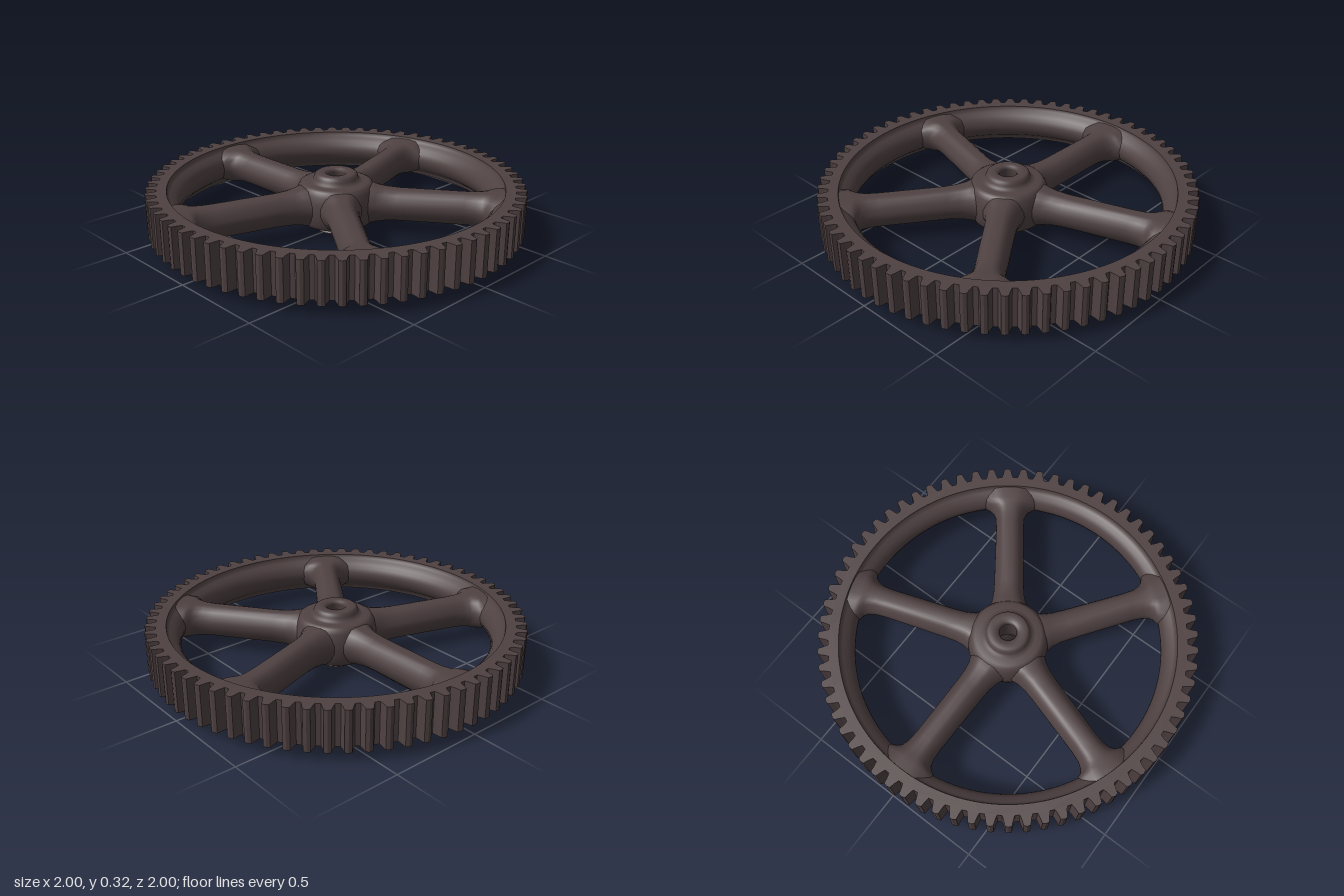
import * as THREE from 'three';

const MID = 0.16; // height of the wheel's central plane
const TEETH = 68;
const SPOKES = 5;

// Upper half of a profile [radius, height above mid], mirrored below the mid plane
function mirrored(upper) {
  const lower = upper.slice().reverse().filter(p => p[1] > 0).map(([r, h]) => [r, -h]);
  const rest = upper.filter(p => p[1] >= 0);
  return [...rest, ...lower.reverse().sort((a, b) => b[1] - a[1])].map(([r, h]) => new THREE.Vector2(r, MID + h));
}

// Outer ring outline with trapezoid teeth
function toothedRing() {
  const shape = new THREE.Shape();
  const pitch = (Math.PI * 2) / TEETH;
  const tooth = [[-0.36, 0.943], [-0.27, 0.965], [-0.19, 0.995], [0, 1.0], [0.19, 0.995], [0.27, 0.965], [0.36, 0.943]];
  for (let i = 0; i < TEETH; i++) {
    for (const [f, r] of tooth) {
      const a = Math.PI / 2 + (i + f) * pitch;
      const x = r * Math.cos(a), y = r * Math.sin(a);
      if (shape.curves.length || i || f !== tooth[0][0]) shape.lineTo(x, y);
      else shape.moveTo(x, y);
    }
  }
  shape.closePath();
  const hole = new THREE.Path();
  hole.absarc(0, 0, 0.89, 0, Math.PI * 2, true);
  shape.holes.push(hole);
  const geo = new THREE.ExtrudeGeometry(shape, { depth: 0.22, bevelEnabled: false, curveSegments: 96 });
  return geo.rotateX(-Math.PI / 2).translate(0, MID - 0.11, 0);
}

// Spoke lofted along +z from rounded sections that flare into hub and rim
function spokeGeometry() {
  // [distance from centre, half width at mid plane, half width of crown, half height]
  const stations = [
    [0.13, 0.125, 0.075, 0.108], [0.19, 0.108, 0.065, 0.104], [0.22, 0.094, 0.055, 0.097],
    [0.27, 0.084, 0.047, 0.09], [0.34, 0.081, 0.044, 0.086], [0.68, 0.077, 0.044, 0.086],
    [0.74, 0.081, 0.047, 0.087], [0.775, 0.093, 0.053, 0.09], [0.797, 0.112, 0.062, 0.092],
    [0.812, 0.145, 0.075, 0.094], [0.835, 0.18, 0.09, 0.096], [0.895, 0.18, 0.1, 0.1],
  ];
  const section = (w, c, h) => {
    const q = [[w, 0], [w * 0.98, 0.22 * h], [c + (w - c) * 0.66, 0.5 * h], [c + (w - c) * 0.3, 0.74 * h], [c * 0.85, 0.93 * h], [c * 0.4, h]];
    const top = [...q, ...q.slice().reverse().map(([x, y]) => [-x, y])];
    const bottom = top.slice(1, -1).reverse().map(([x, y]) => [x, -y]);
    return [...top, ...bottom];
  };
  const pos = [], idx = [];
  let n = 0;
  stations.forEach(([z, w, c, h], i) => {
    const ring = section(w, c, h);
    n = ring.length;
    ring.forEach(([x, y]) => pos.push(x, MID + y, z));
    if (!i) return;
    for (let j = 0; j < n; j++) {
      const k = (j + 1) % n;
      const a = (i - 1) * n + j, b = (i - 1) * n + k;
      idx.push(a, b, a + n, b, b + n, a + n);
    }
  });
  const geo = new THREE.BufferGeometry();
  geo.setAttribute('position', new THREE.Float32BufferAttribute(pos, 3));
  geo.setIndex(idx);
  geo.computeVertexNormals();
  return geo;
}

export function createModel() {
  const group = new THREE.Group();
  const iron = new THREE.MeshStandardMaterial({ color: 0x4f4142 });
  iron.name = 'dark cast iron';
  const add = (name, geo) => {
    const mesh = new THREE.Mesh(geo, iron);
    mesh.name = name;
    group.add(mesh);
    return mesh;
  };

  add('toothedRing', toothedRing());

  // Inner rim bulging toward the centre
  const rim = [[0.89, 0.11], [0.887, 0.092], [0.872, 0.08], [0.848, 0.064], [0.831, 0.042], [0.822, 0.018], [0.82, 0]];
  add('innerRim', new THREE.LatheGeometry(mirrored(rim), 128));

  // Hub: flange, raised boss on both faces and a through bore
  const hubTop = [
    [0.045, 0.142], [0.055, 0.156], [0.075, 0.16], [0.1, 0.16], [0.112, 0.152], [0.118, 0.135], [0.125, 0.118],
    [0.145, 0.114], [0.175, 0.112], [0.192, 0.104], [0.205, 0.08], [0.214, 0.04], [0.217, 0],
  ];
  const hubOutside = mirrored(hubTop).reverse();
  add('hub', new THREE.LatheGeometry([...hubOutside, hubOutside[0].clone()], 64));

  // Five spokes, one pointing to the back
  const spoke = spokeGeometry();
  for (let i = 0; i < SPOKES; i++) {
    add('spoke' + (i + 1), spoke).rotation.y = Math.PI + (i * Math.PI * 2) / SPOKES;
  }
  return group;
}
